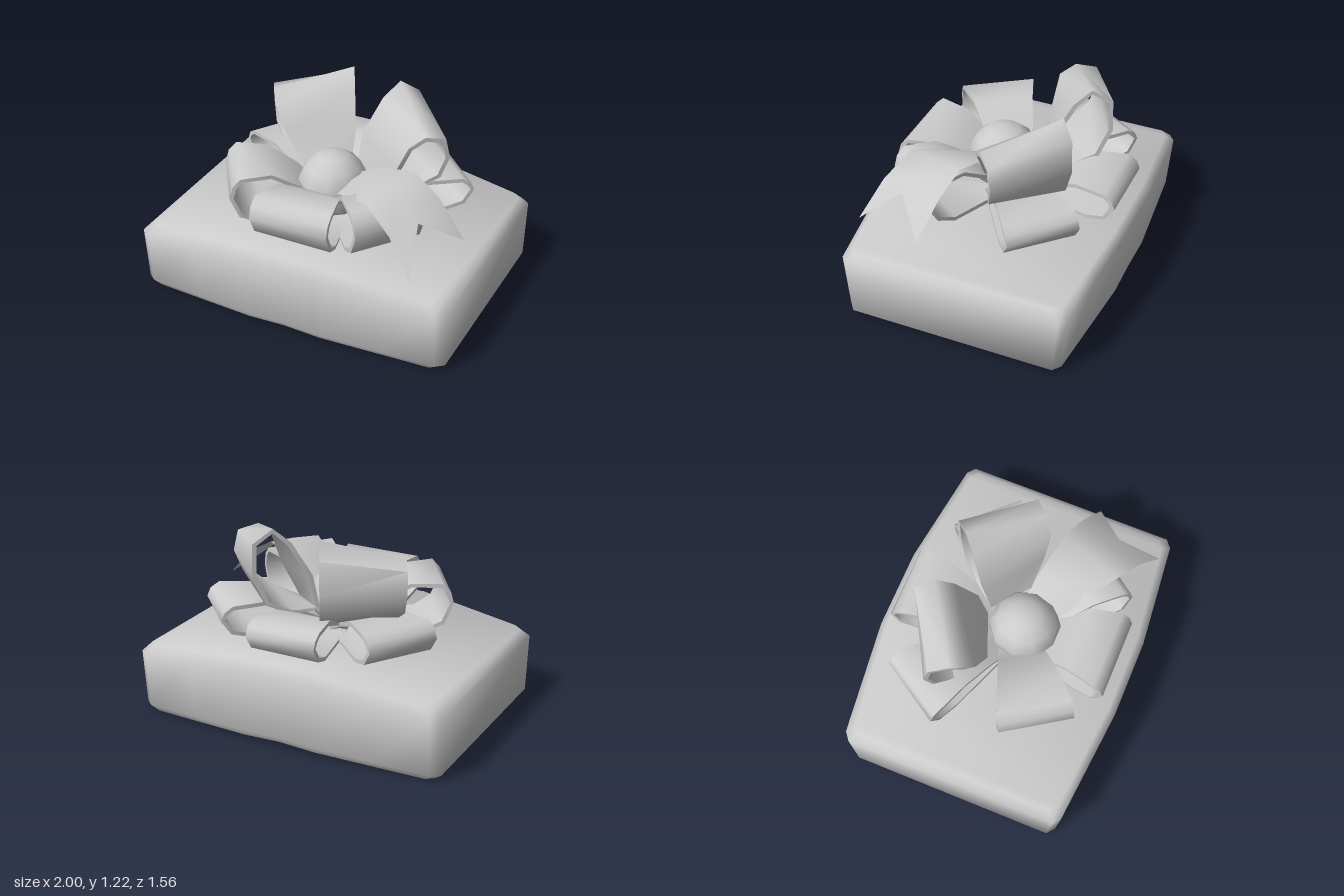
import * as THREE from 'three';
import { toCreasedNormals } from 'three/addons/utils/BufferGeometryUtils.js';

const grey = new THREE.MeshStandardMaterial({ color: 0xcccccc });
const thin = new THREE.MeshStandardMaterial({ color: 0xcccccc, side: THREE.DoubleSide });

// Skin a list of cross-sections; optionally join the last to the first,
// close each section around, and cap both ends by pairing front and back points
function loft(rings, { loop = false, around = true, cap = false } = {}) {
  const n = rings[0].length, m = rings.length, index = [];
  const quad = (a, b, c, d) => index.push(a, b, c, a, c, d);
  for (let i = 0; i < (loop ? m : m - 1); i++) {
    const k = (i + 1) % m;
    for (let j = 0; j < (around ? n : n - 1); j++) {
      const l = (j + 1) % n;
      quad(i * n + j, i * n + l, k * n + l, k * n + j);
    }
  }
  if (cap) {
    const e = (m - 1) * n;
    for (let j = 0; j < n / 2 - 1; j++) {
      quad(e + j, e + j + 1, e + n - 2 - j, e + n - 1 - j);
      quad(n - 1 - j, n - 2 - j, j + 1, j);
    }
  }
  const g = new THREE.BufferGeometry();
  g.setAttribute('position', new THREE.Float32BufferAttribute(rings.flat(2), 3));
  g.setIndex(index);
  return toCreasedNormals(g, 1.3);
}

function add(parent, name, geometry, material = grey) {
  const mesh = new THREE.Mesh(geometry, material);
  mesh.name = name;
  parent.add(mesh);
  return mesh;
}

// One outline of the bulging lid, with y measured from its arched top or bottom edge
function lidRing(insetX, insetZ, edge, dy) {
  const stations = [[-1, 0.67], [-0.95, 0.71], [-0.6, 0.745], [-0.25, 0.78], [0, 0.78],
    [0.25, 0.78], [0.6, 0.745], [0.95, 0.71], [1, 0.67]];
  const front = stations.map(([x, z]) => {
    const a = Math.abs(x);
    const fall = THREE.MathUtils.clamp((a - 0.25) / 0.7, 0, 1);
    const y = edge === 'top' ? 0.53 - 0.08 * fall : 0.04 * Math.max(0, 1 - a / 0.95);
    return [x * (1 - insetX), y + dy, z - insetZ];
  });
  const back = front.map(([x, y, z]) => [x, y, -z]).reverse();
  return [...front, ...back];
}

// Thick ribbon bent into a closed loop between two edge outlines of [x, y, z] points
function ribbonLoop(minEdge, maxEdge, thickness) {
  const n = minEdge.length;
  const inner = (edge) => edge.map(([x, y, z], i) => {
    const p = edge[(i + n - 1) % n], q = edge[(i + 1) % n];
    const dy = q[1] - p[1], dz = q[2] - p[2], len = Math.hypot(dy, dz);
    return [x, y + (dz / len) * thickness, z - (dy / len) * thickness];
  });
  const minInner = inner(minEdge), maxInner = inner(maxEdge);
  return loft(minEdge.map((p, i) => [p, maxEdge[i], maxInner[i], minInner[i]]), { loop: true });
}

export function createModel() {
  const model = new THREE.Group();
  model.name = 'giftBoxLid';

  // Hollow lid: rounded inner ceiling, inner wall, rim, outer wall, bevelled top
  add(model, 'lid', loft([
    lidRing(0.17, 0.19, 'top', -0.08),
    lidRing(0.1, 0.12, 'top', -0.14),
    lidRing(0.09, 0.1, 'bottom', 0.03),
    lidRing(0.045, 0.055, 'bottom', 0.0),
    lidRing(0, 0.03, 'bottom', 0.04),
    lidRing(0, 0, 'top', -0.055),
    lidRing(0.05, 0.045, 'top', 0),
  ], { cap: true }));

  const bow = new THREE.Group();
  bow.name = 'bow';
  model.add(bow);

  // Lower loops, pinched at the knot: name, direction x and z, reach, half width, height, start x and z
  const lowShape = [[0.1, 0.12], [0.28, 0], [0.74, 0], [0.92, 0.2], [1, 0.6],
    [0.97, 0.84], [0.9, 1], [0.62, 0.98], [0.36, 0.62]];
  const lower = [
    ['frontLoop', 0, 1, 0.68, 0.25, 0.29, 0.01, 0],
    ['backLoop', 0, -1, 0.71, 0.225, 0.22, 0, 0],
    ['frontRightLoop', -0.835, 0.55, 0.68, 0.228, 0.32, 0.01, 0.01],
    ['frontLeftLoop', 0.8, 0.6, 0.69, 0.225, 0.32, 0, 0.03],
    ['backRightLoop', -0.845, -0.534, 0.755, 0.225, 0.22, 0, 0],
    ['backLeftLoop', 0.718, -0.696, 0.76, 0.222, 0.22, 0.08, 0.1],
  ];
  for (const [name, dx, dz, reach, half, height, x, z] of lower) {
    const edge = (side) => lowShape.map(([r, h]) =>
      [side * half * (0.42 + 0.58 * Math.min(1, r * 1.1)), 0.525 + h * height, r * reach]);
    const mesh = add(bow, name, ribbonLoop(edge(-1), edge(1), 0.025));
    mesh.rotation.y = Math.atan2(dx, dz);
    mesh.position.set(x, 0, z);
  }

  // Upper loops lean outwards behind the knot, pinched at the bottom:
  // rows are [outward, height, sideways] for the tall inner edge and the small outer edge
  const tallEdge = [[0.14, 0.67, 0.08], [0.32, 0.66, 0.1], [0.48, 0.74, 0.11], [0.56, 0.92, 0.11],
    [0.555, 1.13, 0.11], [0.43, 1.215, 0.11], [0.32, 1.12, 0.11], [0.19, 0.9, 0.11]];
  const smallEdge = [[0.17, 0.65, -0.2], [0.36, 0.69, -0.32], [0.51, 0.8, -0.38], [0.56, 0.93, -0.39],
    [0.53, 1.06, -0.39], [0.4, 1.09, -0.39], [0.3, 1.03, -0.38], [0.25, 0.86, -0.32]];
  for (const [name, dx, dz, side] of [['upperLeftLoop', 0.7, -0.7, 1], ['upperRightLoop', -0.48, -0.88, -1]]) {
    const tall = tallEdge.map(([z, y, x]) => [side * x, y, z]);
    const small = smallEdge.map(([z, y, x]) => [side * x, y, z]);
    const mesh = add(bow, name, side > 0 ? ribbonLoop(small, tall, 0.028) : ribbonLoop(tall, small, 0.028));
    mesh.rotation.y = Math.atan2(dx, dz);
  }

  // Loose ribbon tail with a notched end
  add(bow, 'ribbonTail', loft([
    [[0.1, 0.74, 0.02], [0.1, 0.75, 0.13], [0.1, 0.72, 0.24]],
    [[0.3, 0.86, 0.06], [0.28, 0.86, 0.2], [0.25, 0.81, 0.37]],
    [[0.55, 0.93, 0.12], [0.49, 0.91, 0.31], [0.42, 0.88, 0.5]],
    [[0.73, 0.83, 0.17], [0.63, 0.845, 0.37], [0.61, 0.77, 0.59]],
    [[0.92, 0.63, 0.23], [0.71, 0.79, 0.42], [0.78, 0.57, 0.68]],
  ], { around: false }), thin);

  // Round centre knot
  const knot = add(bow, 'knot', new THREE.SphereGeometry(0.213, 10, 7));
  knot.scale.set(1, 1, 1.04);
  knot.position.set(0.003, 0.69, 0.085);

  return model;
}
